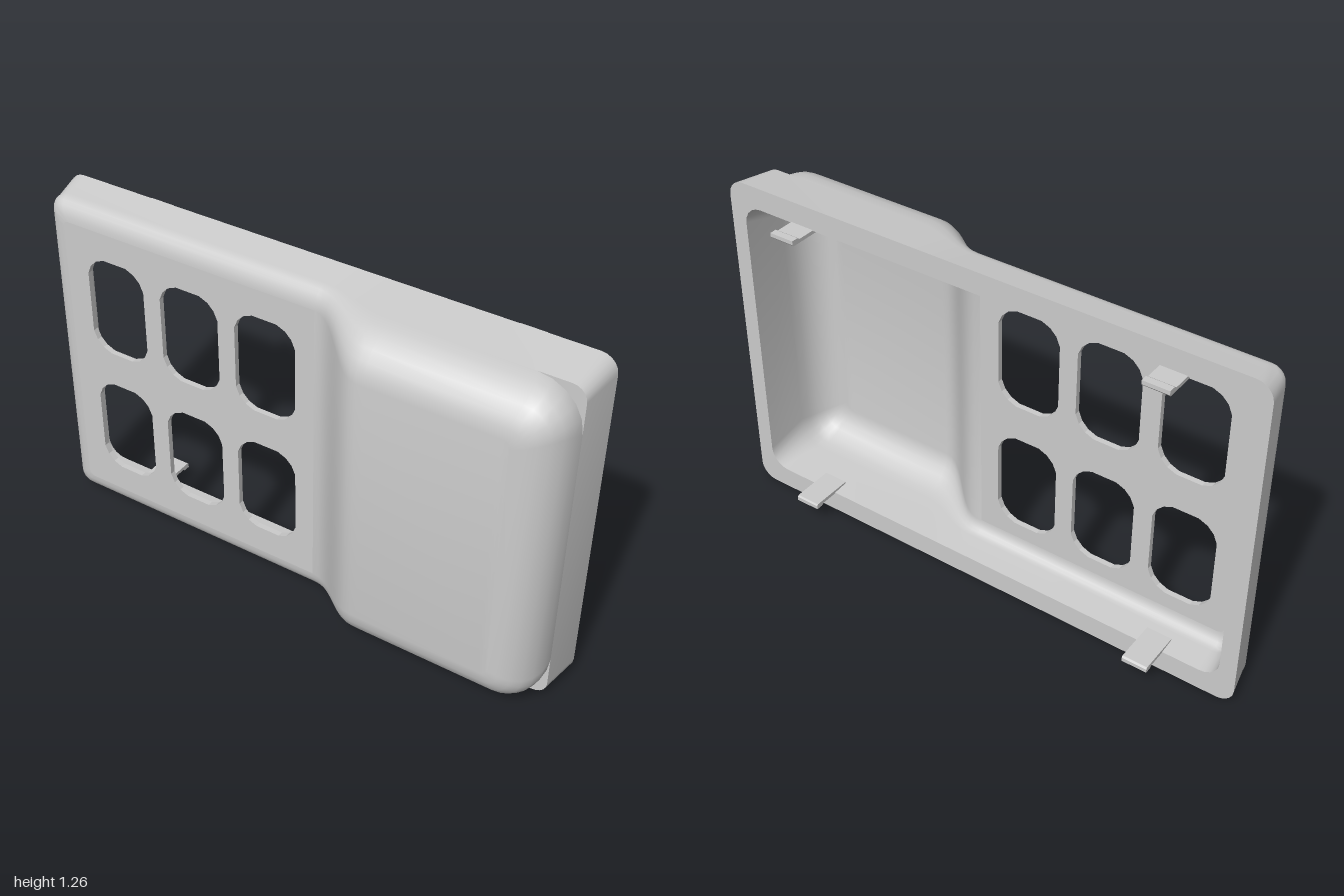
import * as THREE from 'three';
import { toCreasedNormals } from 'three/addons/utils/BufferGeometryUtils.js';

const MID_Y = 0.635, HALF_Y = 0.63, BACK = -0.11;
const ARC = 5;                                   // segments per corner
const STEP_START = 0.08, STEP_END = 0.33;        // slope between low and raised front
const STATIONS = Array.from({ length: 12 }, (_, i) => STEP_START + i * 0.025);
const FIRST = ARC + 1;                           // index of the first station in a half ring
const lerp = THREE.MathUtils.lerp;

// Half ring: left corner, along the top edge, right corner.
// lo / hi hold inset, height and corner radius of the low and raised ends.
function halfRing(lo, hi, extraY = 0, shift = 0) {
  const pts = [];
  const corner = (side, e, from, to) => {
    const cx = side * (1 - e.inset - e.r), cy = HALF_Y - e.inset - extraY - e.r;
    for (let i = 0; i <= ARC; i++) {
      const a = lerp(from, to, i / ARC);
      pts.push([cx + e.r * Math.cos(a), cy + e.r * Math.sin(a), e.z]);
    }
  };
  corner(-1, lo, Math.PI, Math.PI / 2);
  for (const x of STATIONS) {
    const s = THREE.MathUtils.smoothstep(x, STEP_START + shift, STEP_END + shift);
    pts.push([x, HALF_Y - extraY - lerp(lo.inset, hi.inset, s), lerp(lo.z, hi.z, s)]);
  }
  corner(1, hi, Math.PI / 2, 0);
  return pts;
}

const mirrorRing = (half) => [...half, ...half.map(([x, y, z]) => [x, -y, z]).reverse()];

// Quarter-ellipse edge from the side wall (a) to the front face (b)
function edge(a, b, t) {
  const q = t * Math.PI / 2;
  return {
    inset: lerp(b.inset, a.inset, Math.cos(q)),
    z: lerp(a.z, b.z, Math.sin(q)),
    r: lerp(a.r, b.r, t),
  };
}

function shellRings() {
  const E = (inset, z, r) => ({ inset, z, r });
  const outer = [
    halfRing(E(0, BACK, 0.06), E(0, BACK, 0.06)),
    halfRing(E(0.018, -0.01, 0.06), E(0.02, 0.05, 0.05)),
  ];
  const inner = [halfRing(E(0.06, BACK, 0.07), E(0.06, BACK, 0.07), 0.02)];
  const N = 6;
  for (let i = 0; i <= N; i++) {
    const t = i / N;
    // the raised end starts with a rounder corner, leaving a small ledge
    outer.push(halfRing(
      edge(E(0.018, -0.01, 0.06), E(0.09, 0.045, 0.02), t),
      edge(E(0.02, 0.05, 0.16), E(0.165, 0.21, 0.03), t)));
    inner.push(halfRing(
      edge(E(0.068, -0.02, 0.07), E(0.115, 0.025, 0.03), t),
      edge(E(0.07, 0.05, 0.1), E(0.18, 0.19, 0.03), t), 0.02, 0.02));
  }
  return { outer, inner };
}

function shellGeometry({ outer, inner }) {
  const rings = [...inner.slice().reverse(), ...outer].map(mirrorRing);
  const n = rings[0].length;
  const index = [];
  const quad = (a, b, c, d) => index.push(a, b, c, a, c, d);
  // inner wall, rim and outer wall as one loft
  for (let i = 0; i < rings.length - 1; i++) {
    for (let j = 0; j < n; j++) {
      const k = (j + 1) % n;
      quad(i * n + j, (i + 1) * n + j, (i + 1) * n + k, i * n + k);
    }
  }
  // slope and raised front, outside and inside
  const last = (rings.length - 1) * n;
  for (let j = FIRST; j < n / 2 - 1; j++) {
    const m = n - 1 - j;
    quad(last + j, last + m, last + m - 1, last + j + 1);
    quad(j, j + 1, m - 1, m);
  }
  const geo = new THREE.BufferGeometry();
  geo.setAttribute('position', new THREE.Float32BufferAttribute(rings.flat(2), 3));
  geo.setIndex(index);
  return toCreasedNormals(geo, 0.6);
}

// Window with softened corners
function windowPath(cx, cy, w, h, c) {
  const p = new THREE.Path();
  const x = w / 2, y = h / 2;
  p.moveTo(cx - x + c, cy - y);
  p.lineTo(cx + x - c, cy - y);
  p.quadraticCurveTo(cx + x - c * 0.2, cy - y + c * 0.2, cx + x, cy - y + c);
  p.lineTo(cx + x, cy + y - c);
  p.quadraticCurveTo(cx + x - c * 0.2, cy + y - c * 0.2, cx + x - c, cy + y);
  p.lineTo(cx - x + c, cy + y);
  p.quadraticCurveTo(cx - x + c * 0.2, cy + y - c * 0.2, cx - x, cy + y - c);
  p.lineTo(cx - x, cy - y + c);
  p.quadraticCurveTo(cx - x + c * 0.2, cy - y + c * 0.2, cx - x + c, cy - y);
  return p;
}

// Low front panel, bounded by the innermost outer ring
function panelGeometry({ outer }) {
  const half = outer[outer.length - 1].slice(0, FIRST + 1);
  const shape = new THREE.Shape(mirrorRing(half).map(([x, y]) => new THREE.Vector2(x, y)));
  for (const x of [-0.705, -0.405, -0.107]) {
    for (const y of [0.385, 0.888]) {
      shape.holes.push(windowPath(x, y - MID_Y, 0.232, 0.37, 0.07));
    }
  }
  const geo = new THREE.ExtrudeGeometry(shape, { depth: 0.02, bevelEnabled: false, curveSegments: 3 });
  return geo.translate(0, 0, 0.025);
}

// Snap clip: thin tongue with a small barb at the back end
function clipGeometry() {
  const profile = [[0.05, 0], [0.205, 0], [0.21, 0.006], [0.21, 0.02], [0.185, 0.02], [0.175, 0.013], [0.05, 0.013]];
  const shape = new THREE.Shape(profile.map(([x, y]) => new THREE.Vector2(x, y)));
  const geo = new THREE.ExtrudeGeometry(shape, { depth: 0.092, bevelEnabled: false });
  return geo.translate(0, 0.54, -0.046).rotateY(Math.PI / 2);
}

export function createModel() {
  const model = new THREE.Group();
  model.name = 'coverPlate';
  const body = new THREE.Group();
  body.name = 'body';
  body.position.y = MID_Y;
  model.add(body);

  const material = new THREE.MeshStandardMaterial({ color: 0xcccccc });
  const add = (name, geo) => {
    const mesh = new THREE.Mesh(geo, material);
    mesh.name = name;
    body.add(mesh);
    return mesh;
  };

  const rings = shellRings();
  add('shell', shellGeometry(rings));
  add('windowPanel', panelGeometry(rings));

  const clip = clipGeometry();
  for (const x of [-0.69, 0.688]) {
    const side = x < 0 ? 'Right' : 'Left';
    add('topClip' + side, clip).position.x = x;
    const lower = add('bottomClip' + side, clip);
    lower.position.x = x;
    lower.rotation.z = Math.PI;
  }
  return model;
}
